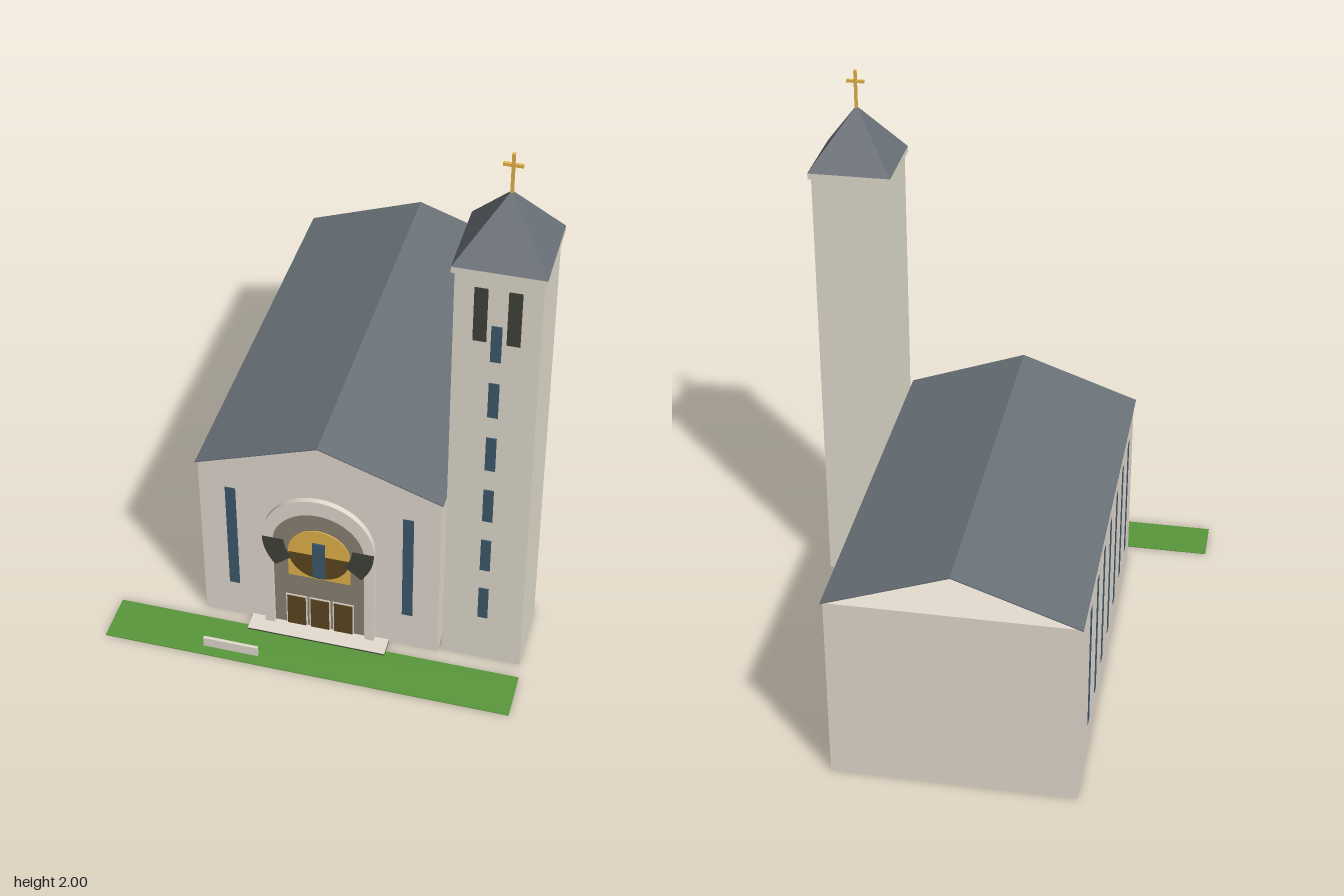
import * as THREE from 'three';

const mat = (name, color, side = THREE.FrontSide) => {
  const m = new THREE.MeshStandardMaterial({ color, side });
  m.name = name;
  return m;
};

export function createModel() {
  const wall = mat('nave plaster', 0xe5dcd1, THREE.DoubleSide);
  const towerWall = mat('tower plaster', 0xe3decf);
  const naveSlate = mat('nave slate', 0x697177, THREE.DoubleSide);
  const towerSlate = mat('tower slate', 0x6a7078);
  const glass = mat('blue glass', 0x3e5b6d);
  const dark = mat('dark opening', 0x43423b);
  const taupe = mat('portal stone', 0x8d8373);
  const gold = mat('gold', 0xe6b54b);
  const wood = mat('brown wood', 0x5d4722);
  const grass = mat('grass', 0x5a983b);

  const church = new THREE.Group();
  church.name = 'church';

  const add = (name, geometry, material, x = 0, y = 0, z = 0, parent = church) => {
    const mesh = new THREE.Mesh(geometry, material);
    mesh.name = name;
    mesh.position.set(x, y, z);
    parent.add(mesh);
    return mesh;
  };
  // Box given by its x, y and z ranges
  const box = (name, material, x0, x1, y0, y1, z0, z1, parent = church) =>
    add(name, new THREE.BoxGeometry(x1 - x0, y1 - y0, z1 - z0), material,
      (x0 + x1) / 2, (y0 + y1) / 2, (z0 + z1) / 2, parent);
  // Same, with the underside (box face group 3) in the dark colour
  const groundedBox = (name, material, ...range) =>
    box(name, [material, material, material, dark, material, material], ...range);
  const polygon = (points) => new THREE.Shape(points.map(([x, y]) => new THREE.Vector2(x, y)));
  const extrude = (shape, depth) =>
    new THREE.ExtrudeGeometry(shape, { depth, bevelEnabled: false, curveSegments: 24 });
  // Round-headed outline: straight sides up to the springing, then a half circle
  const archPath = (path, r, y0, spring) => {
    path.moveTo(-r, y0);
    path.lineTo(r, y0);
    path.lineTo(r, spring);
    path.absarc(0, spring, r, 0, Math.PI, false);
    path.lineTo(-r, y0);
    return path;
  };

  // Nave, closed front gable, and a thin roof left open at the back
  groundedBox('naveWalls', wall, -0.42, 0.42, 0, 0.695, -0.83, 0.61);
  add('frontGable', new THREE.ShapeGeometry(polygon([[-0.42, 0.695], [0.42, 0.695], [0, 0.846]])),
    wall, 0, 0, 0.61);
  add('naveRoof', extrude(polygon([
    [-0.427, 0.694], [0, 0.846], [0.427, 0.694], [0.427, 0.698], [0, 0.85], [-0.427, 0.698],
  ]), 1.455), naveSlate, 0, 0, -0.837);

  // Tall narrow windows on both sides and beside the portal
  for (const s of [-1, 1]) {
    for (let i = 0; i < 7; i++) {
      add('sideWindow', new THREE.BoxGeometry(0.004, 0.475, 0.037), glass,
        s * 0.4195, 0.3625, 0.463 - i * 0.174);
    }
    add('facadeWindow', new THREE.BoxGeometry(0.037, 0.45, 0.004), glass, s * 0.31, 0.375, 0.6095);
  }

  // Arched portal
  const portal = new THREE.Group();
  portal.name = 'portal';
  church.add(portal);
  const frame = archPath(new THREE.Shape(), 0.197, 0, 0.424);
  frame.holes.push(archPath(new THREE.Path(), 0.163, 0.001, 0.397));
  add('portalFrame', extrude(frame, 0.02), wall, 0, 0, 0.61, portal);
  add('portalBack', extrude(archPath(new THREE.Shape(), 0.165, 0, 0.397), 0.004), taupe, 0, 0, 0.61, portal);
  add('goldNiche', extrude(archPath(new THREE.Shape(), 0.11, 0.25, 0.365), 0.004), gold, 0, 0, 0.614, portal);
  add('nicheBowl', new THREE.CircleGeometry(0.108, 24, Math.PI, Math.PI), wood, 0, 0.362, 0.6195, portal);
  for (const start of [Math.PI, Math.PI * 1.78]) {
    add('archShade', new THREE.RingGeometry(0.12, 0.197, 12, 1, start, Math.PI * 0.22),
      dark, 0, 0.424, 0.631, portal);
  }
  box('nicheWindow', glass, -0.022, 0.022, 0.262, 0.42, 0.618, 0.624, portal);

  // Three framed doors
  for (const x of [-0.084, 0, 0.084]) {
    box('doorFrame', wall, x - 0.038, x + 0.038, 0, 0.15, 0.612, 0.617, portal);
    box('door', wood, x - 0.033, x + 0.033, 0.005, 0.145, 0.615, 0.62, portal);
  }
  // Entrance step: dark riser under a pale tread
  box('stepRiser', dark, -0.247, 0.247, 0, 0.008, 0.61, 0.68);
  box('stepTread', wall, -0.247, 0.247, 0.008, 0.01, 0.61, 0.68);

  // Bell tower
  const tower = new THREE.Group();
  tower.name = 'bellTower';
  church.add(tower);
  const tx = 0.571, tz = 0.463;
  groundedBox('towerShaft', towerWall, tx - 0.137, tx + 0.137, 0, 1.65, tz - 0.137, tz + 0.137, tower);
  box('towerCornice', towerWall, tx - 0.147, tx + 0.147, 1.645, 1.667, tz - 0.147, tz + 0.147, tower);
  const spire = new THREE.ConeGeometry(0.147 * Math.SQRT2, 0.203, 4, 1).toNonIndexed();
  spire.rotateY(Math.PI / 4);
  spire.computeVertexNormals();
  add('towerRoof', spire, towerSlate, tx, 1.7685, tz, tower);
  for (let i = 0; i < 6; i++) {
    const y = 0.27 + i * 0.2245;
    box('towerWindow', glass, tx - 0.017, tx + 0.017, y - 0.069, y + 0.069, 0.598, 0.604, tower);
  }
  for (const s of [-1, 1]) {
    add('belfryOpening', new THREE.BoxGeometry(0.043, 0.203, 0.004), dark, tx + s * 0.053, 1.497, 0.6, tower);
  }
  box('crossPost', gold, tx - 0.005, tx + 0.005, 1.86, 2, tz - 0.005, tz + 0.005, tower);
  box('crossBar', gold, tx - 0.031, tx + 0.031, 1.955, 1.965, tz - 0.005, tz + 0.005, tower);

  // Lawn strip and low sign slab
  groundedBox('lawn', grass, -0.72, 0.718, 0, 0.003, 0.66, 0.833);
  box('signSlab', wall, -0.372, -0.176, 0.003, 0.041, 0.784, 0.795);

  return church;
}
